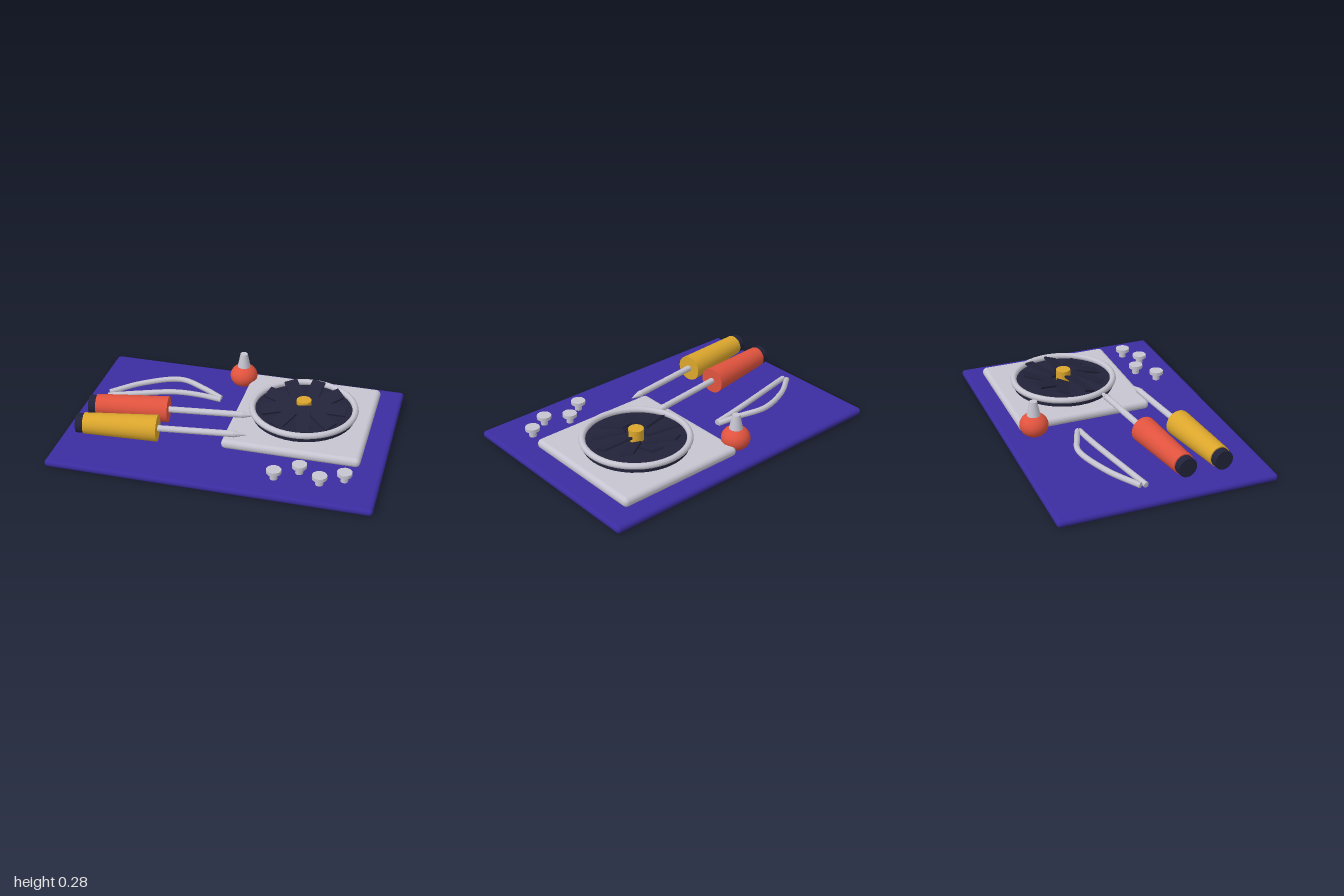
import * as THREE from 'three';
import { RoundedBoxGeometry } from 'three/addons/geometries/RoundedBoxGeometry.js';

const mat = (name, color) => Object.assign(new THREE.MeshStandardMaterial({ color }), { name });

export function createModel() {
  const root = new THREE.Group();
  root.name = 'repairMat';
  const purple = mat('purple mat', 0x3b2ca0);
  const silver = mat('silver metal', 0xc6c4d0);
  const dark = mat('dark plastic', 0x22233a);
  const red = mat('red rubber', 0xe0533e);
  const gold = mat('gold plastic', 0xdba62c);

  const add = (parent, name, geometry, material, x = 0, y = 0, z = 0) => {
    const mesh = new THREE.Mesh(geometry, material);
    mesh.name = name;
    mesh.position.set(x, y, z);
    parent.add(mesh);
    return mesh;
  };
  const group = (name, x, y, z) => {
    const g = new THREE.Group();
    g.name = name;
    g.position.set(x, y, z);
    root.add(g);
    return g;
  };

  // Work mat
  add(root, 'mat', new RoundedBoxGeometry(2, 0.046, 1.36, 3, 0.022), purple, 0, 0.023, 0);

  // Fan unit: plate, dark well, ring, blades and hub
  const fan = group('fan', 0.43, 0, -0.14);
  add(fan, 'plate', new RoundedBoxGeometry(0.86, 0.062, 0.865, 3, 0.029), silver, 0, 0.08, 0);
  add(fan, 'well', new THREE.CylinderGeometry(0.325, 0.325, 0.035, 40), dark, 0, 0.1225, 0);
  const ring = add(fan, 'ring', new THREE.TorusGeometry(0.325, 0.02, 10, 48), silver, 0, 0.155, 0);
  ring.rotation.x = Math.PI / 2;
  const bladeGeo = new THREE.BoxGeometry(0.21, 0.014, 0.085);
  for (let i = 0; i < 9; i++) {
    const a = (i / 9) * Math.PI * 2;
    const blade = add(fan, 'blade', bladeGeo, dark, Math.cos(a) * 0.165, 0.172, Math.sin(a) * 0.165);
    blade.rotation.set(0.35, -a, 0); // spin, then the same slant for every blade
  }
  add(fan, 'hub', new THREE.CylinderGeometry(0.047, 0.047, 0.085, 18), gold, 0, 0.1725, 0);

  // Screwdrivers, built along local +x from the butt
  const alongX = (rEnd, rStart, length, sides) =>
    new THREE.CylinderGeometry(rEnd, rStart, length, sides).rotateZ(-Math.PI / 2);
  const screwdriver = (name, z, grip) => {
    const g = group(name, -0.39, 0.15, z);
    g.rotation.y = 0.122;
    add(g, 'handle', alongX(0.083, 0.066, 0.46, 24), grip, -0.23);
    add(g, 'cap', alongX(0.06, 0.06, 0.058, 20), dark, -0.478, -0.002);
    add(g, 'shaft', alongX(0.02, 0.02, 0.47, 12), silver, 0.235);
    add(g, 'tip', alongX(0.002, 0.022, 0.08, 10), silver, 0.508);
  };
  screwdriver('redScrewdriver', 0.084, red);
  screwdriver('goldScrewdriver', 0.312, gold);

  // Tweezers: two bowed arms
  const arm = (name, points) => {
    const path = new THREE.CatmullRomCurve3(points.map((p) => new THREE.Vector3(...p)));
    add(root, name, new THREE.TubeGeometry(path, 32, 0.018, 8), silver);
    // Closed arm ends
    for (const t of [0, 1]) {
      const cap = add(root, name + 'End', new THREE.CircleGeometry(0.018, 8), silver, ...path.getPoint(t));
      const out = path.getTangent(t).multiplyScalar(t ? 1 : -1);
      cap.quaternion.setFromUnitVectors(new THREE.Vector3(0, 0, 1), out);
    }
  };
  arm('tweezerArmBack', [[-0.865, 0.08, -0.135], [-0.68, 0.1, -0.265], [-0.44, 0.115, -0.35],
    [-0.27, 0.1, -0.3], [-0.14, 0.075, -0.25]]);
  arm('tweezerArmFront', [[-0.865, 0.075, -0.1], [-0.65, 0.09, -0.158], [-0.44, 0.1, -0.21],
    [-0.28, 0.09, -0.23], [-0.14, 0.073, -0.235]]);

  // Blower bulb with a tapered nozzle
  const blower = group('blower', -0.05, 0, -0.5);
  add(blower, 'bulb', new THREE.SphereGeometry(0.09, 24, 16), red, 0, 0.125, 0).scale.y = 0.85;
  add(blower, 'nozzle', new THREE.CylinderGeometry(0.024, 0.046, 0.11, 16), silver, 0, 0.23, 0);

  // Loose screws standing on the mat
  for (const [x, z] of [[0.385, 0.505], [0.52, 0.412], [0.657, 0.496], [0.793, 0.426]]) {
    const screw = group('screw', x, 0, z);
    add(screw, 'stem', new THREE.CylinderGeometry(0.024, 0.024, 0.055, 10), silver, 0, 0.067, 0);
    add(screw, 'head', new THREE.CylinderGeometry(0.046, 0.046, 0.022, 12), silver, 0, 0.099, 0);
  }
  return root;
}
